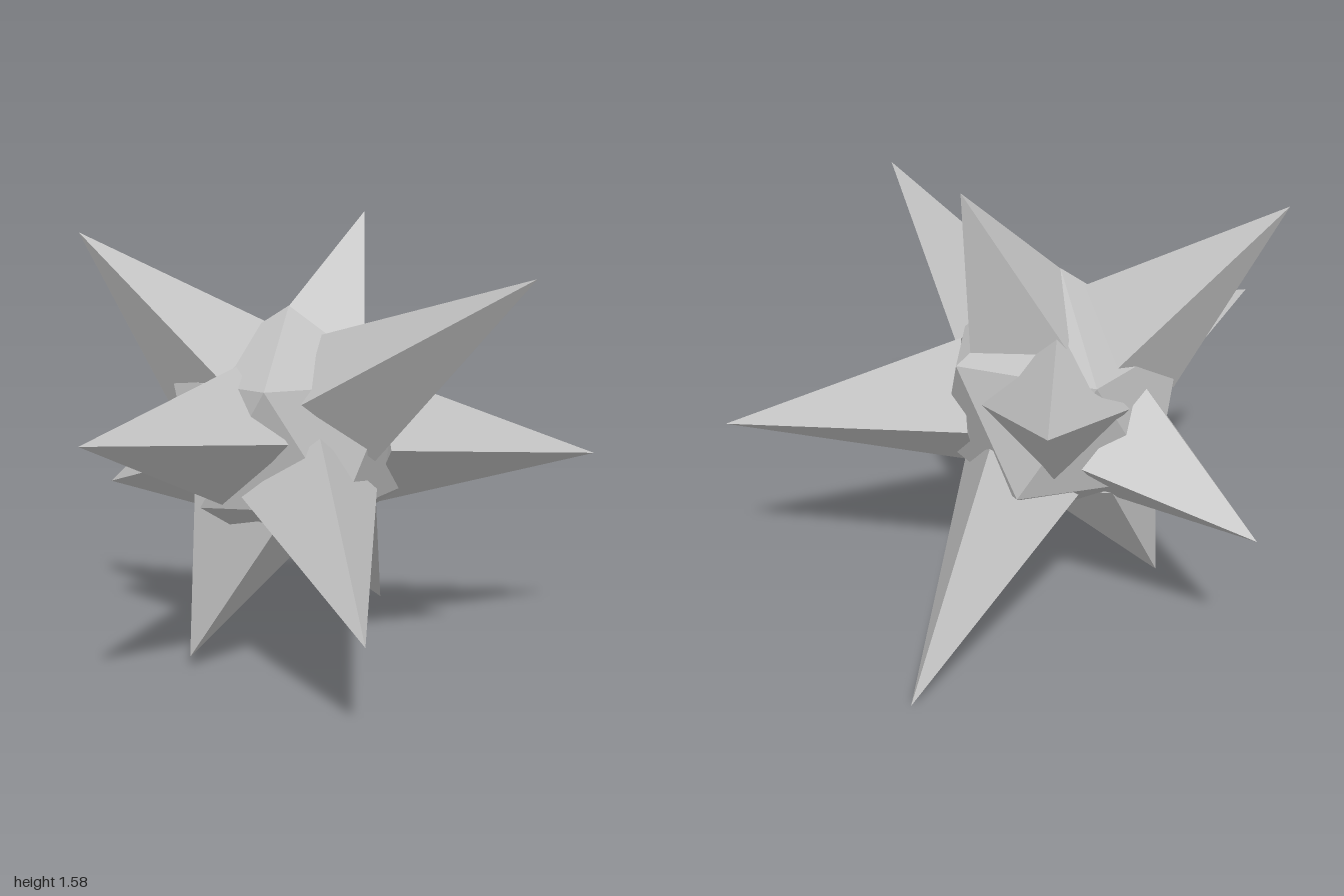
import * as THREE from 'three';
import { ConvexGeometry } from 'three/addons/geometries/ConvexGeometry.js';

const CENTER = new THREE.Vector3(-0.06, 0.81, -0.11);
const CORE_RADIUS = 0.45;
const BASE_DISTANCE = 0.31; // spike bases sit just inside the core
const BASE_RADIUS = 0.235;

const TIPS = [
  [-0.66, 1.51, -0.5],
  [0.305, 1.58, -0.175],
  [0.2, 1.385, 0.85],
  [-1, 0.91, 0.23],
  [1, 0.7, 0.32],
  [-0.32, 0.31, 0.715],
  [-0.425, 0.04, -0.19],
  [0.645, 0, -0.52],
  [0.31, 1.065, -0.84],
  [-0.405, 0.555, -0.85],
];

// Twenty-sided core standing on one corner: two poles and two staggered rings
function makeCore(material) {
  const points = [new THREE.Vector3(0, CORE_RADIUS, 0), new THREE.Vector3(0, -CORE_RADIUS, 0)];
  const ringY = CORE_RADIUS / Math.sqrt(5);
  const ringR = ringY * 2;
  for (let i = 0; i < 10; i++) {
    const a = THREE.MathUtils.degToRad(-10 + i * 36);
    points.push(new THREE.Vector3(Math.cos(a) * ringR, i % 2 ? -ringY : ringY, Math.sin(a) * ringR));
  }
  const core = new THREE.Mesh(new ConvexGeometry(points), material);
  core.name = 'core';
  core.position.copy(CENTER);
  return core;
}

// Four-sided spike pointing outward from the core to its tip
function makeSpike(tip, material) {
  const length = tip.distanceTo(CENTER) - BASE_DISTANCE;
  const geometry = new THREE.ConeGeometry(BASE_RADIUS, length, 4);
  geometry.rotateX(Math.PI / 2).translate(0, 0, length / 2);
  const spike = new THREE.Mesh(geometry, material);
  spike.position.copy(tip).sub(CENTER).setLength(BASE_DISTANCE).add(CENTER);
  spike.lookAt(tip);
  return spike;
}

export function createModel() {
  const stone = new THREE.MeshStandardMaterial({ color: 0xbfbfbf, flatShading: true });
  stone.name = 'grey stone';
  const model = new THREE.Group();
  model.name = 'spikyCrystal';
  model.add(makeCore(stone));
  TIPS.forEach((p, i) => {
    const spike = makeSpike(new THREE.Vector3(...p), stone);
    spike.name = `spike${i + 1}`;
    model.add(spike);
  });
  return model;
}
